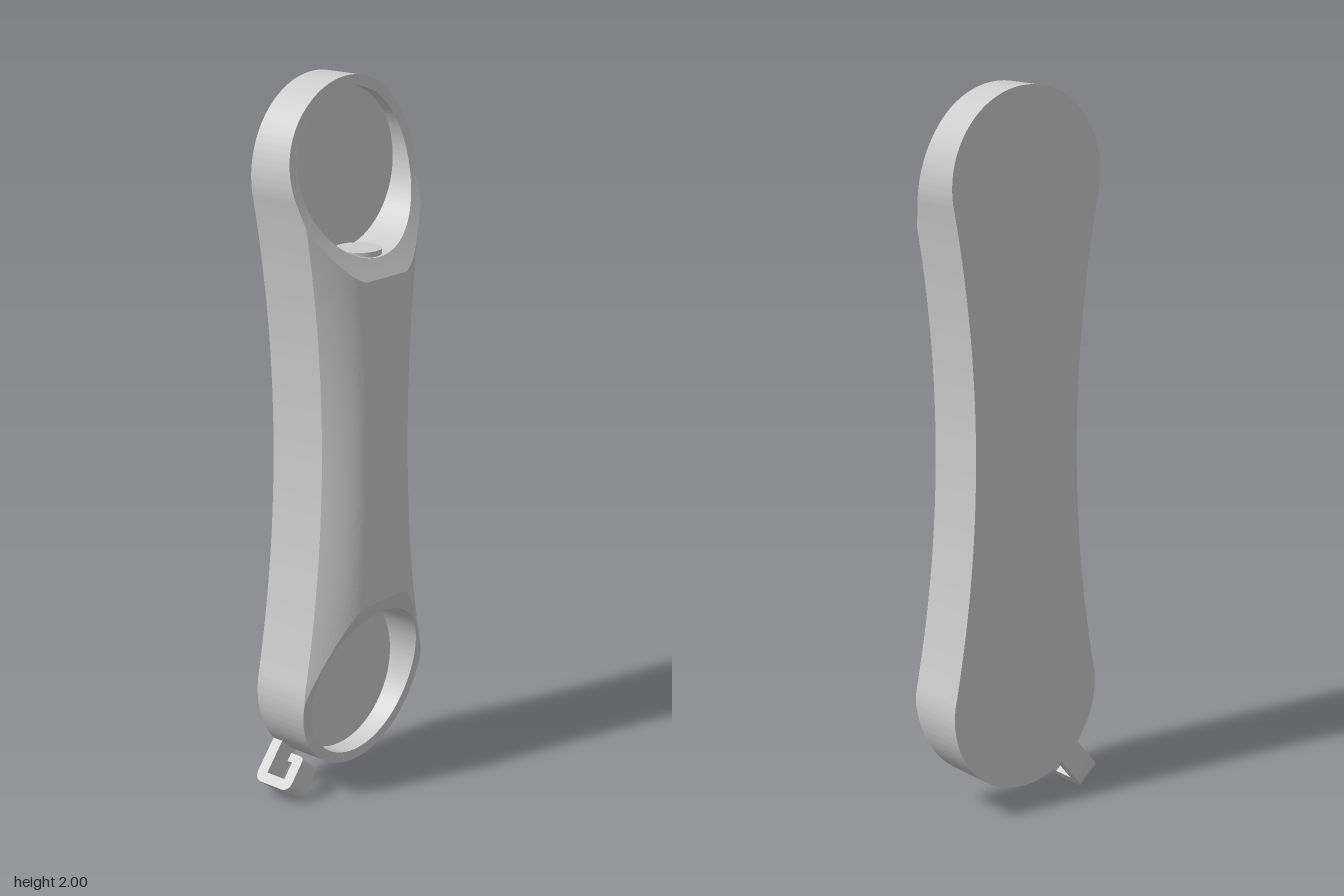
import * as THREE from 'three';
import { toCreasedNormals } from 'three/addons/utils/BufferGeometryUtils.js';

const MID = 1.03, END = 0.72, R = 0.25, POCKET = 0.22;
const BACK = -0.125, FRONT = 0.125, FLOOR = -0.04, SEAM = 0.4;

const material = new THREE.MeshStandardMaterial({ color: 0xcccccc });

// half width of the waisted outline at distance d from the middle
function halfWidth(d) {
  d = Math.abs(d);
  if (d < 0.68) return 0.175 + 0.0718 * (d / 0.68) ** 2;
  return Math.sqrt(Math.max(0, R * R - (d - END) ** 2));
}

// rounded front of the cross-section
function section(x, d) {
  const u = Math.min(1, Math.abs(x) / halfWidth(Math.min(Math.abs(d), END)));
  const t = Math.max(0, (u - 0.36) / 0.64);
  return FRONT - (FRONT - 0.05) * t ** 1.7;
}

// scooped cuts that lower the front towards each end
const upperCut = d => -0.006 + 0.647 * Math.max(0, 0.9 - d) ** 2;
const lowerCut = d => {
  const t = 0.97 - d;
  return 0.02 + 0.0354 * t + 0.334 * t * t;
};

// surface through rows of points
function loft(rows) {
  const n = rows[0].length, index = [];
  for (let i = 0; i < rows.length - 1; i++) {
    for (let j = 0; j < n - 1; j++) {
      const a = i * n + j, b = a + n;
      index.push(a, b, a + 1, b, b + 1, a + 1);
    }
  }
  const geo = new THREE.BufferGeometry();
  geo.setAttribute('position', new THREE.Float32BufferAttribute(rows.flat(2), 3));
  geo.setIndex(index);
  return toCreasedNormals(geo, 0.35);
}

function addMesh(parent, name, geo) {
  const mesh = new THREE.Mesh(geo, material);
  mesh.name = name;
  parent.add(mesh);
  return mesh;
}

// largest value in [lo, hi] that still passes the test
function bisect(lo, hi, test) {
  for (let i = 0; i < 40; i++) {
    const m = (lo + hi) / 2;
    if (test(m)) lo = m; else hi = m;
  }
  return lo;
}

// rounded end with a round pocket; side is 1 for the top, -1 for the bottom
function endGeometry(side, cut) {
  const angles = [];
  const a0 = Math.atan2(SEAM - END, halfWidth(SEAM)), a1 = Math.PI - a0;
  for (let i = 0; i < 180; i++) angles.push(a0 + (a1 - a0) * i / 180);
  for (let i = 0; i <= 60; i++) angles.push(a1 + (a0 + 2 * Math.PI - a1) * i / 60);
  const rays = angles.map(a => {
    const c = Math.cos(a), s = Math.sin(a);
    const pt = (r, z) => [side * r * c, MID + side * (END + r * s), z];
    const edge = bisect(POCKET, 0.6, r =>
      END + r * s >= SEAM && Math.abs(r * c) <= halfWidth(END + r * s));
    const rim = bisect(POCKET, edge, r => cut(END + r * s) < section(r * c, END + r * s));
    const height = r => Math.min(cut(END + r * s), section(r * c, END + r * s));
    const ray = [pt(0, FLOOR), pt(POCKET, FLOOR)];
    for (let i = 0; i <= 5; i++) {
      const r = POCKET + (rim - POCKET) * i / 5;
      ray.push(pt(r, height(r)));
    }
    for (let i = 1; i <= 10; i++) {
      const r = rim + (edge - rim) * i / 10;
      ray.push(pt(r, height(r)));
    }
    ray.push(pt(edge, BACK), pt(0, BACK));
    return ray;
  });
  return loft(rays[0].map((_, i) => rays.map(ray => ray[i])));
}

// waisted handle between the two ends
function gripGeometry() {
  const rows = [];
  for (let i = 0; i <= 40; i++) {
    const d = -SEAM + 2 * SEAM * i / 40, w = halfWidth(d);
    const row = [[w, MID + d, BACK]];
    for (let j = 0; j <= 40; j++) {
      const x = w * (1 - j / 20);
      row.push([x, MID + d, section(x, d)]);
    }
    row.push([-w, MID + d, BACK], [w, MID + d, BACK]);
    rows.push(row);
  }
  return loft(rows);
}

// open C-shaped clip, drawn as distance from the lower end's centre against depth
function hookGeometry() {
  const s = new THREE.Shape();
  s.moveTo(0.235, -0.125);
  s.lineTo(0.345, -0.125);
  s.quadraticCurveTo(0.375, -0.125, 0.375, -0.095);
  s.lineTo(0.375, -0.025);
  s.quadraticCurveTo(0.375, 0.003, 0.345, 0.003);
  s.lineTo(0.285, 0.003);
  s.quadraticCurveTo(0.27, 0.003, 0.27, -0.012);
  s.lineTo(0.27, -0.045);
  s.lineTo(0.295, -0.045);
  s.lineTo(0.295, -0.028);
  s.lineTo(0.345, -0.028);
  s.lineTo(0.345, -0.092);
  s.lineTo(0.235, -0.092);
  const geo = new THREE.ExtrudeGeometry(s, { depth: 0.075, bevelEnabled: false, curveSegments: 8 });
  geo.translate(0, 0, -0.0375);
  const out = new THREE.Vector3(-0.64, -0.77, 0).normalize();
  const front = new THREE.Vector3(0, 0, 1);
  geo.applyMatrix4(new THREE.Matrix4().makeBasis(out, front, out.clone().cross(front)));
  geo.translate(0, MID - END, 0);
  return toCreasedNormals(geo, 0.6);
}

export function createModel() {
  const model = new THREE.Group();
  model.name = 'handset';
  model.position.x = 0.005;
  addMesh(model, 'grip', gripGeometry());
  addMesh(model, 'upperCup', endGeometry(1, upperCut));
  addMesh(model, 'lowerCup', endGeometry(-1, lowerCut));
  // small flat disc on the lower wall of the upper pocket
  const disc = addMesh(model, 'pocketDisc', new THREE.CylinderGeometry(0.063, 0.063, 0.02, 40));
  disc.position.set(0, 1.535, 0.027);
  addMesh(model, 'cordHook', hookGeometry());
  return model;
}
